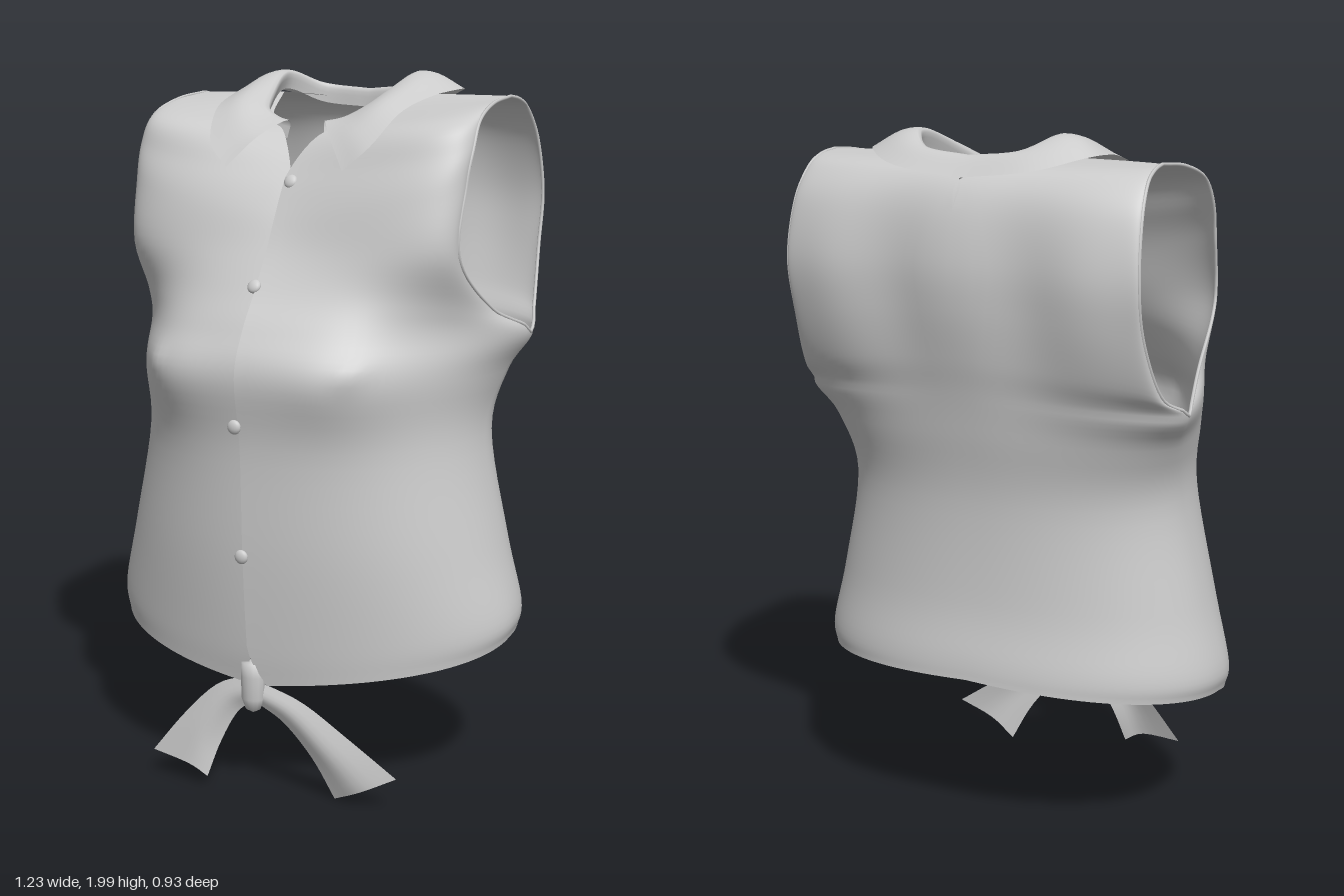
import * as THREE from 'three';
import { mergeGeometries, mergeVertices } from 'three/addons/utils/BufferGeometryUtils.js';

const cloth = new THREE.MeshStandardMaterial({ color: 0xcccccc, side: THREE.DoubleSide });
const V = (a) => new THREE.Vector3(...a);
const spline = (pts, closed = false) => new THREE.CatmullRomCurve3(pts, closed, 'catmullrom', 0.5);

// Grid surface from a rule (u, v) -> Vector3
function surface(rule, nu, nv, flip = false) {
  const geo = new THREE.PlaneGeometry(1, 1, nu, nv);
  const pos = geo.attributes.position, uv = geo.attributes.uv;
  for (let i = 0; i < pos.count; i++) {
    const u = flip ? 1 - uv.getX(i) : uv.getX(i);
    const p = rule(u, uv.getY(i));
    pos.setXYZ(i, p.x, p.y, p.z);
  }
  geo.deleteAttribute('uv');
  geo.deleteAttribute('normal');
  return geo;
}

function mesh(name, geos) {
  const geo = mergeVertices(mergeGeometries(geos), 1e-4);
  geo.computeVertexNormals();
  const m = new THREE.Mesh(geo, cloth);
  m.name = name;
  return m;
}

// Surface through rows of points, smooth both ways
function loft(rows, nu, nv, flip) {
  const columns = rows[0].map((_, k) => spline(rows.map((r) => V(r[k]))));
  return surface((u, v) => spline(columns.map((c) => c.getPoint(v))).getPoint(u), nu, nv, flip);
}

// Panel rows: centre point, side point, [squareness, outward bulge]
const FRONT = [
  [[0.05, 0.325, 0.375], [0.605, 0.44, 0], [1.95, 0]],
  [[0, 0.44, 0.395], [0.615, 0.51, 0], [1.95, 0]],
  [[0, 0.70, 0.415], [0.565, 0.70, -0.02], [2.05, 0]],
  [[0, 1.0, 0.425], [0.50, 1.0, -0.05], [2.15, 0]],
  [[0, 1.2, 0.452], [0.525, 1.17, -0.13], [2.1, 0]],
  [[0, 1.32, 0.405], [0.572, 1.275, -0.2], [1.9, 0]],
  [[0, 1.42, 0.335], [0.525, 1.36, -0.02], [2, 0.01]],
  [[0, 1.52, 0.27], [0.50, 1.51, 0.155], [2.1, 0.02]],
  [[0, 1.62, 0.215], [0.505, 1.70, 0.13], [2, 0.04]],
  [[0, 1.71, 0.16], [0.51, 1.80, 0.095], [2, 0.05]],
  [[0.06, 1.82, 0.08], [0.505, 1.87, 0.04], [2, 0.07]],
  [[0.155, 1.87, -0.03], [0.495, 1.91, -0.08], [2, 0.055]],
  [[0.21, 1.93, -0.2], [0.49, 1.925, -0.22], [2, 0]],
];
const BACK = [
  [[0, 0.50, -0.39], [0.605, 0.44, 0], [2.2, 0]],
  [[0, 0.56, -0.385], [0.615, 0.51, 0], [2.2, 0]],
  [[0, 0.72, -0.36], [0.565, 0.70, -0.02], [2.2, 0]],
  [[0, 1.0, -0.355], [0.50, 1.0, -0.05], [2.2, 0]],
  [[0, 1.2, -0.385], [0.525, 1.17, -0.13], [2.2, 0]],
  [[0, 1.32, -0.405], [0.572, 1.275, -0.2], [2.2, 0]],
  [[0, 1.42, -0.425], [0.54, 1.34, -0.31], [2.4, 0]],
  [[0, 1.55, -0.445], [0.52, 1.5, -0.39], [2.8, 0]],
  [[0, 1.67, -0.45], [0.518, 1.65, -0.42], [3, 0]],
  [[0, 1.80, -0.43], [0.51, 1.80, -0.39], [2.5, 0]],
  [[0, 1.88, -0.39], [0.50, 1.885, -0.335], [2, 0]],
  [[0.12, 1.915, -0.325], [0.495, 1.915, -0.28], [2, 0]],
  [[0.21, 1.93, -0.2], [0.49, 1.925, -0.22], [2, 0]],
];
const ARMPIT = 5 / (FRONT.length - 1);

const curvesOf = (rows) => ({
  centre: spline(rows.map((r) => V(r[0]))),
  side: spline(rows.map((r) => V(r[1]))),
  shape: spline(rows.map((r) => V([...r[2], 0]))),
});
const front = curvesOf(FRONT), back = curvesOf(BACK);

// Half of the front or back, on the +x (1) or -x (-1) side
function panel(curves, mirror) {
  const dir = curves === front ? 1 : -1;
  const rule = (u, v) => {
    const c = curves.centre.getPoint(v);
    const s = (v <= ARMPIT + 1e-6 ? front : curves).side.getPoint(v);
    const { x: n, y: bulge } = curves.shape.getPoint(v);
    const a = u * Math.PI / 2;
    const sx = Math.pow(Math.sin(a), 2 / n);
    const cz = Math.pow(Math.max(0, Math.cos(a)), 2 / n);
    const p = new THREE.Vector3(
      c.x + (s.x - c.x) * sx,
      c.y + (s.y - c.y) * u,
      s.z + (c.z - s.z) * cz + dir * bulge * Math.sin(Math.PI * u));
    if (dir > 0) {
      // bust shaping, and the overlapping button edge
      const d = (p.x - 0.3) ** 2 + (p.y - 1.22) ** 2;
      p.z += (0.045 * Math.exp(-d / 0.025) + 0.014 * Math.exp(-d / 0.0012)) * Math.cos(a);
      p.x = Math.max(p.x, 0);
      if (mirror > 0) {
        const edge = Math.pow(1 - u, 10);
        p.z += 0.01 * edge;
        p.x -= 0.012 * edge;
      }
    } else {
      // soft folds down the shoulder blades
      const fade = Math.exp(-((p.y - 1.6) ** 2) / 0.06) * Math.cos(a) * (1 - v ** 8);
      p.z -= 0.013 * Math.cos(p.x * Math.PI / 0.19) * fade;
    }
    p.x *= mirror;
    return p;
  };
  return surface(rule, 32, 72, dir * mirror < 0);
}

// Half collar rows: fold point and outer edge point, from back to front
const COLLAR = [
  [[0, 1.935, -0.335], [0, 1.885, -0.408]],
  [[0.13, 1.948, -0.32], [0.2, 1.908, -0.388]],
  [[0.195, 1.985, -0.25], [0.31, 1.938, -0.31]],
  [[0.20, 1.982, -0.18], [0.335, 1.942, -0.22]],
  [[0.178, 1.94, -0.08], [0.312, 1.926, -0.08]],
  [[0.148, 1.895, 0.01], [0.285, 1.885, 0.07]],
  [[0.10, 1.87, 0.045], [0.245, 1.80, 0.172]],
  [[0.055, 1.86, 0.065], [0.178, 1.735, 0.206]],
].map(([f, o]) => {
  // stand base, fold, crown of the fall, outer edge
  const crown = f.map((c, i) => (c + o[i]) / 2 + [-0.006, 0.02, 0.004][i] * (i || f[0] > 0));
  return [[f[0] * 1.04, f[1] - 0.05, f[2] + 0.005], f, crown, o];
});

export function createModel() {
  const model = new THREE.Group();

  model.add(mesh('body', [1, -1].flatMap((m) => [panel(front, m), panel(back, m)])));

  model.add(mesh('collar', [1, -1].map((m) =>
    loft(COLLAR.map((r) => r.map(([x, y, z]) => [x * m, y, z])), 12, 36, m < 0))));

  // Turned armhole edges, up the front and down the back
  for (const m of [1, -1]) {
    const loop = [];
    for (let i = 0; i < 48; i++) {
      const k = i < 24 ? i / 24 : (48 - i) / 24;
      const p = (i < 24 ? front : back).side.getPoint(ARMPIT + (1 - ARMPIT) * k);
      loop.push(p.setX(p.x * m));
    }
    const edge = new THREE.Mesh(new THREE.TubeGeometry(spline(loop, true), 96, 0.005, 6, true), cloth);
    edge.name = m > 0 ? 'leftArmholeEdge' : 'rightArmholeEdge';
    model.add(edge);
  }

  // Buttons: x, y, z, backward tilt
  const buttons = new THREE.Group();
  buttons.name = 'buttons';
  for (const [x, y, z, tilt] of [
    [0.01, 1.70, 0.178, -0.5], [-0.018, 1.43, 0.337, -0.55],
    [-0.02, 1.065, 0.45, 0], [-0.015, 0.70, 0.426, 0]]) {
    const b = new THREE.Mesh(new THREE.SphereGeometry(0.02, 16, 10), cloth);
    b.scale.z = 0.55;
    b.position.set(x, y, z);
    b.rotation.x = tilt;
    b.name = 'button';
    buttons.add(b);
  }
  model.add(buttons);

  // Knot at the front hem
  const profile = [[0, -0.078], [0.022, -0.066], [0.034, -0.035], [0.036, 0.03], [0.034, 0.07], [0, 0.077]];
  const knot = new THREE.Mesh(
    new THREE.LatheGeometry(profile.map((p) => new THREE.Vector2(...p)), 14), cloth);
  knot.position.set(-0.01, 0.315, 0.375);
  knot.scale.z = 0.8;
  knot.name = 'knot';
  model.add(knot);

  // Two flaring tie ends: lower edge, middle, upper edge
  model.add(mesh('rightTie', [loft([
    [[-0.01, 0.27, 0.37], [-0.01, 0.30, 0.38], [-0.01, 0.345, 0.37]],
    [[-0.065, 0.225, 0.37], [-0.09, 0.265, 0.385], [-0.12, 0.305, 0.375]],
    [[-0.11, 0.135, 0.385], [-0.16, 0.17, 0.40], [-0.225, 0.205, 0.38]],
    [[-0.14, 0.035, 0.41], [-0.20, 0.065, 0.415], [-0.33, 0.075, 0.39]],
  ], 8, 14)]));
  model.add(mesh('leftTie', [loft([
    [[0, 0.265, 0.37], [0, 0.295, 0.38], [0, 0.33, 0.37]],
    [[0.08, 0.215, 0.36], [0.105, 0.25, 0.375], [0.135, 0.285, 0.36]],
    [[0.16, 0.12, 0.345], [0.21, 0.155, 0.365], [0.265, 0.20, 0.345]],
    [[0.22, 0.005, 0.325], [0.31, 0.05, 0.35], [0.41, 0.10, 0.33]],
  ], 8, 14)]));

  return model;
}
